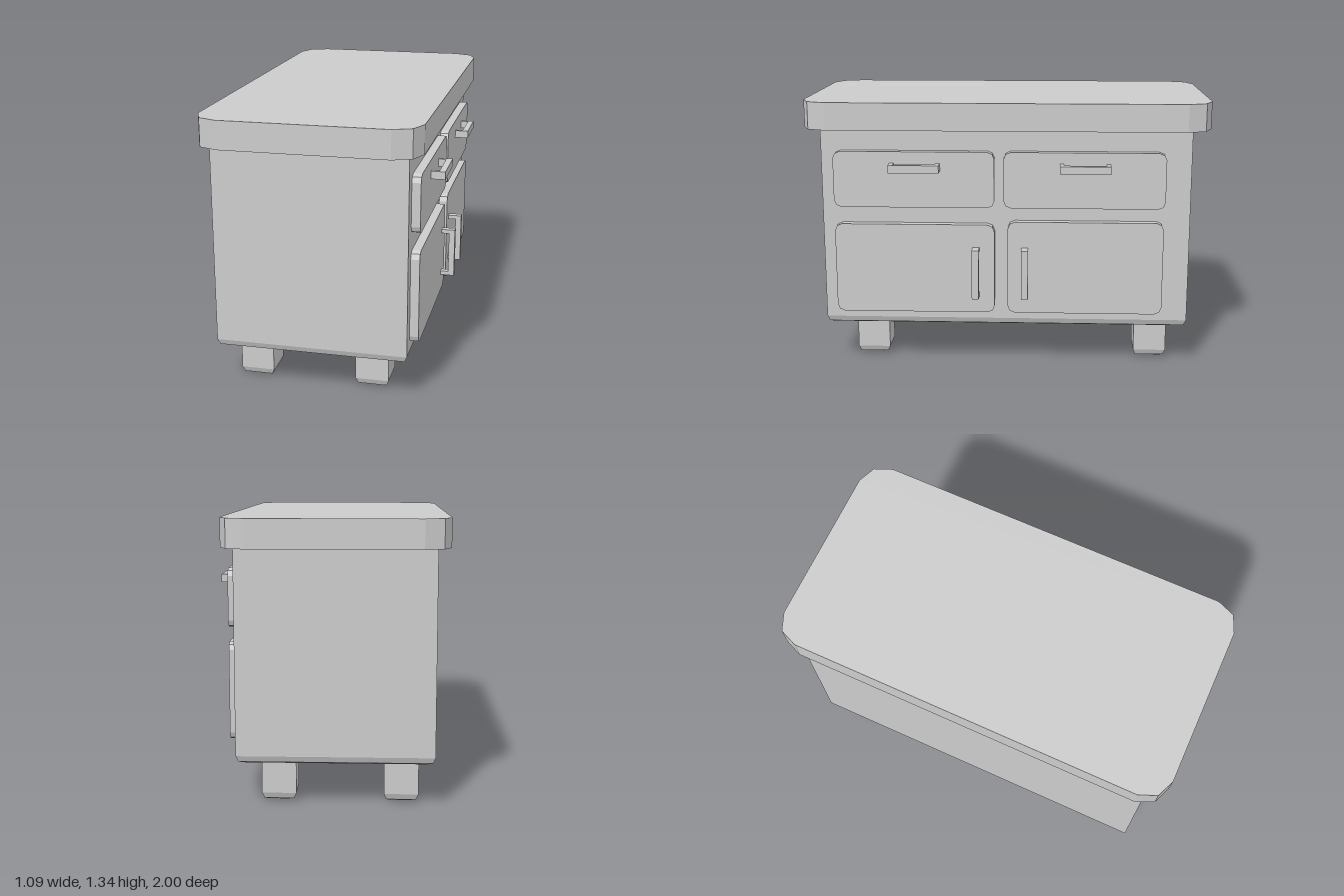
import * as THREE from 'three';

const material = new THREE.MeshStandardMaterial({ color: 0xcccccc, flatShading: true });

function addMesh(parent, name, geometry, x = 0, y = 0, z = 0) {
  const mesh = new THREE.Mesh(geometry, material);
  mesh.name = name;
  mesh.position.set(x, y, z);
  parent.add(mesh);
  return mesh;
}

// Rectangle with corners rounded in two facets
function roundedRect(w, h, r) {
  const x = w / 2 - r, y = h / 2 - r, s = new THREE.Shape();
  s.absarc(x, y, r, 0, Math.PI / 2);
  s.absarc(-x, y, r, Math.PI / 2, Math.PI);
  s.absarc(-x, -y, r, Math.PI, Math.PI * 1.5);
  s.absarc(x, -y, r, Math.PI * 1.5, Math.PI * 2);
  s.closePath();
  return s;
}

const extrude = (shape, depth) =>
  new THREE.ExtrudeGeometry(shape, { depth, bevelEnabled: false, curveSegments: 1 });

// Box standing on y = 0 whose lower rim is rounded in two facets
function softBottomBox(w, h, d, r) {
  const geometry = new THREE.BoxGeometry(w, h, d, 1, 3, 1);
  const p = geometry.attributes.position;
  const rows = [[0, r], [r * 0.29, r * 0.29], [r, 0], [h, 0]]; // height, inset
  for (let i = 0; i < p.count; i++) {
    const [y, inset] = rows[Math.round((p.getY(i) / h + 0.5) * 3)];
    p.setXYZ(i, p.getX(i) * (1 - 2 * inset / w), y, p.getZ(i) * (1 - 2 * inset / d));
  }
  geometry.computeVertexNormals();
  return geometry;
}

// U-shaped pull standing out along +x, its length along y
function handleGeometry(length, width) {
  const l = length / 2, out = 0.07, bar = 0.03, post = 0.02;
  const s = new THREE.Shape([
    [0, -l], [out, -l], [out, l], [0, l], [0, l - post],
    [out - bar, l - post], [out - bar, post - l], [0, post - l],
  ].map(([x, y]) => new THREE.Vector2(x, y)));
  return extrude(s, width).translate(0, 0, -width / 2);
}

export function createModel() {
  const model = new THREE.Group();
  model.name = 'cabinet';

  // Carcass
  addMesh(model, 'body', softBottomBox(0.92, 1.0, 1.815, 0.04), -0.025, 0.2, 0.002);

  // Worktop with clipped corners
  const top = extrude(roundedRect(1.04, 2, 0.125), 0.135).rotateX(-Math.PI / 2);
  addMesh(model, 'worktop', top, -0.025, 1.2, 0);

  // Feet
  for (const x of [-0.33, 0.243])
    for (const z of [0.692, -0.735])
      addMesh(model, 'foot', softBottomBox(0.162, 0.23, 0.164, 0.04), x, 0, z);

  // Drawer and door fronts: z centre, y centre, width, height
  const fronts = [
    ['drawerFront', 0.45, 0.957, 0.79, 0.277],
    ['drawerFront', -0.385, 0.957, 0.79, 0.277],
    ['doorFront', 0.45, 0.508, 0.79, 0.45],
    ['doorFront', -0.393, 0.516, 0.765, 0.466],
  ];
  for (const [name, z, y, w, h] of fronts) {
    const panel = extrude(roundedRect(w, h, 0.035), 0.05).rotateY(Math.PI / 2);
    addMesh(model, name, panel, 0.427, y, z);
  }

  // Drawer pulls lie flat, door pulls stand upright
  for (const z of [0.443, -0.387])
    addMesh(model, 'drawerHandle', handleGeometry(0.246, 0.038), 0.475, 1.021, z).rotation.x = Math.PI / 2;
  for (const z of [0.147, -0.095])
    addMesh(model, 'doorHandle', handleGeometry(0.248, 0.034), 0.475, 0.495, z);

  return model;
}
